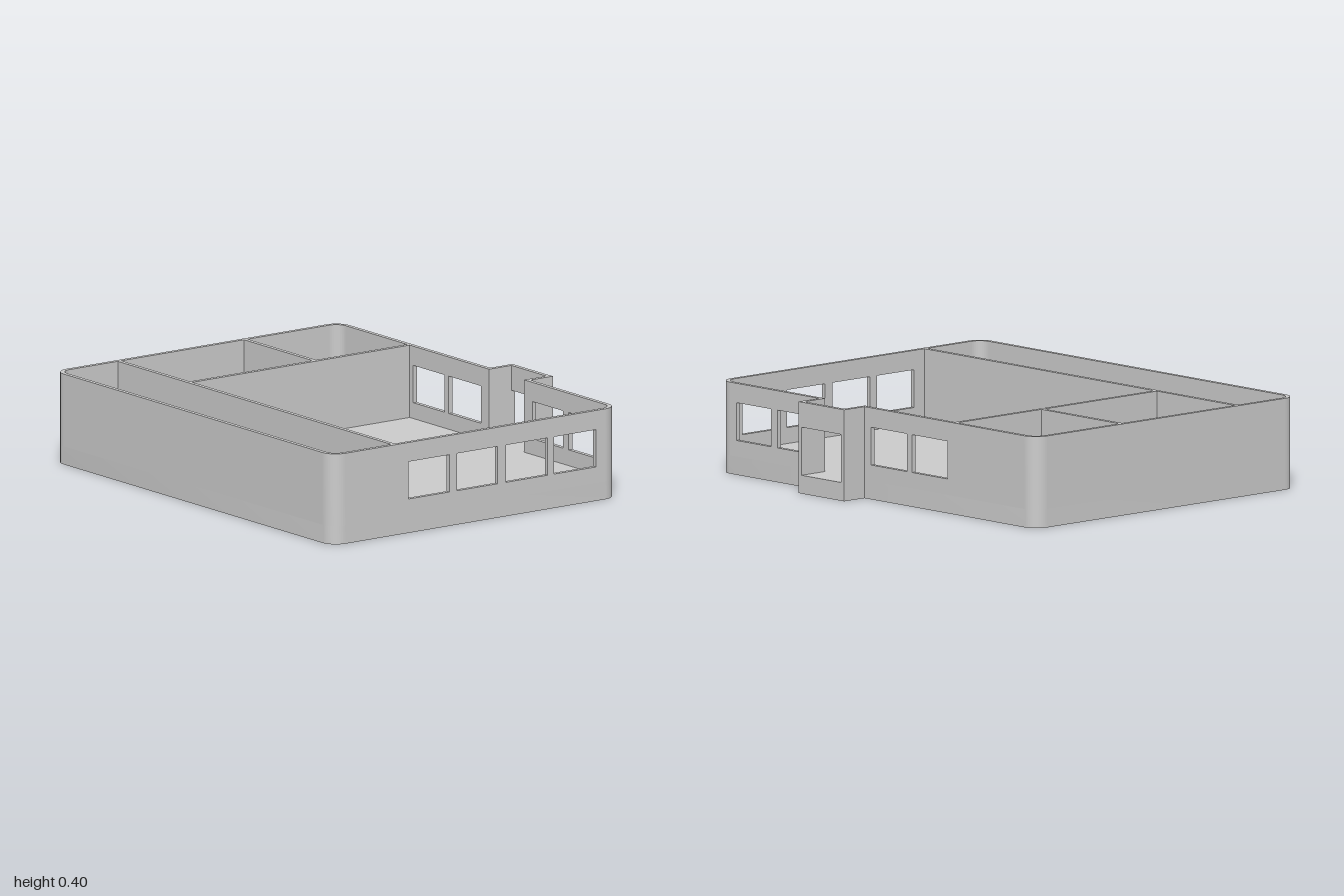
import * as THREE from 'three';
import { toCreasedNormals } from 'three/addons/utils/BufferGeometryUtils.js';

const material = new THREE.MeshStandardMaterial({ color: 0xcccccc });
const X0 = -0.83, X1 = 0.71, Z0 = -1, Z1 = 1;      // outer footprint
const T = 0.02, R = 0.07, FLOOR = 0.08, TOP = 0.4; // wall thickness, corner radius, heights
const PORCH = { x: 0.83, z0: 0.08, z1: 0.37 };
const SILL = 0.15, LINTEL = 0.315;

function extrude(shape, depth) {
  const geometry = new THREE.ExtrudeGeometry(shape, { depth, bevelEnabled: false, curveSegments: 12 });
  return toCreasedNormals(geometry, 0.5);
}

function addMesh(parent, name, geometry) {
  const mesh = new THREE.Mesh(geometry, material);
  mesh.name = name;
  parent.add(mesh);
  return mesh;
}

// Box given by its x, y and z ranges
function addBlock(parent, name, [xa, xb], [ya, yb], [za, zb]) {
  const mesh = addMesh(parent, name, new THREE.BoxGeometry(xb - xa, yb - ya, zb - za));
  mesh.position.set((xa + xb) / 2, (ya + yb) / 2, (za + zb) / 2);
}

// Upright wall from a to b along its length, with window openings cut through
function wallGeometry(a, b, windows = []) {
  const shape = new THREE.Shape();
  shape.moveTo(a, FLOOR).lineTo(b, FLOOR).lineTo(b, TOP).lineTo(a, TOP).closePath();
  for (const [u, v] of windows) {
    const hole = new THREE.Path();
    hole.moveTo(u, SILL).lineTo(u, LINTEL).lineTo(v, LINTEL).lineTo(v, SILL).closePath();
    shape.holes.push(hole);
  }
  return extrude(shape, T);
}

// Rounded floor plan with the porch; plan y is -z
function floorGeometry() {
  const s = new THREE.Shape();
  s.moveTo(X0 + R, -Z1).lineTo(X1 - R, -Z1);
  s.absarc(X1 - R, -Z1 + R, R, -Math.PI / 2, 0);
  s.lineTo(X1, -PORCH.z1).lineTo(PORCH.x, -PORCH.z1).lineTo(PORCH.x, -PORCH.z0).lineTo(X1, -PORCH.z0);
  s.absarc(X1 - R, -Z0 - R, R, 0, Math.PI / 2);
  s.absarc(X0 + R, -Z0 - R, R, Math.PI / 2, Math.PI);
  s.absarc(X0 + R, -Z1 + R, R, Math.PI, Math.PI * 1.5);
  return extrude(s, FLOOR).rotateX(-Math.PI / 2);
}

// Curved wall corner covering one quarter turn
function cornerGeometry(start) {
  const s = new THREE.Shape();
  s.absarc(0, 0, R, start, start + Math.PI / 2, false);
  s.absarc(0, 0, R - T, start + Math.PI / 2, start, true);
  return extrude(s, TOP - FLOOR).rotateX(-Math.PI / 2);
}

export function createModel() {
  const model = new THREE.Group();
  model.name = 'building';
  addMesh(model, 'floorSlab', floorGeometry());

  // Outer walls
  const walls = new THREE.Group();
  walls.name = 'outerWalls';
  model.add(walls);
  const frontWindows = [[-0.42, -0.2], [-0.16, 0.06], [0.105, 0.33], [0.365, 0.59]];
  addMesh(walls, 'frontWall', wallGeometry(X0 + R, X1 - R, frontWindows)).position.z = Z1 - T;
  addMesh(walls, 'backWall', wallGeometry(X0 + R, X1 - R)).position.z = Z0;
  const sideWalls = [
    ['leftFrontWall', X1, PORCH.z1, Z1 - R, [[0.41, 0.63], [0.67, 0.89]]],
    ['leftBackWall', X1, Z0 + R, PORCH.z0, [[-0.445, -0.22], [-0.19, 0.04]]],
    ['rightWall', X0 + T, Z0 + R, Z1 - R, []],
  ];
  for (const [name, x, a, b, windows] of sideWalls) {
    const wall = addMesh(walls, name, wallGeometry(a, b, windows));
    wall.rotation.y = -Math.PI / 2;
    wall.position.x = x;
  }
  const corners = [[X1 - R, Z0 + R], [X0 + R, Z0 + R], [X0 + R, Z1 - R], [X1 - R, Z1 - R]];
  corners.forEach(([x, z], i) => {
    addMesh(walls, 'roundedCorner', cornerGeometry(i * Math.PI / 2)).position.set(x, FLOOR, z);
  });

  // Entrance porch, open to the main room
  const porch = new THREE.Group();
  porch.name = 'porch';
  model.add(porch);
  for (const z of [PORCH.z0, PORCH.z1 - T]) {
    addBlock(porch, 'porchSide', [X1 - T, PORCH.x], [FLOOR, TOP], [z, z + T]);
  }
  addBlock(porch, 'doorHeader', [PORCH.x - T, PORCH.x], [0.29, TOP], [PORCH.z0 + T, PORCH.z1 - T]);

  // Inner partitions
  const partitions = new THREE.Group();
  partitions.name = 'partitions';
  model.add(partitions);
  addBlock(partitions, 'corridorPartition', [-0.5, -0.48], [FLOOR, TOP], [Z0 + T, Z1 - T]);
  addBlock(partitions, 'backRoomsPartition', [-0.48, X1 - T], [FLOOR, TOP], [-0.49, -0.47]);
  addBlock(partitions, 'roomDivider', [0.18, 0.2], [FLOOR, TOP], [Z0 + T, -0.49]);

  return model;
}
